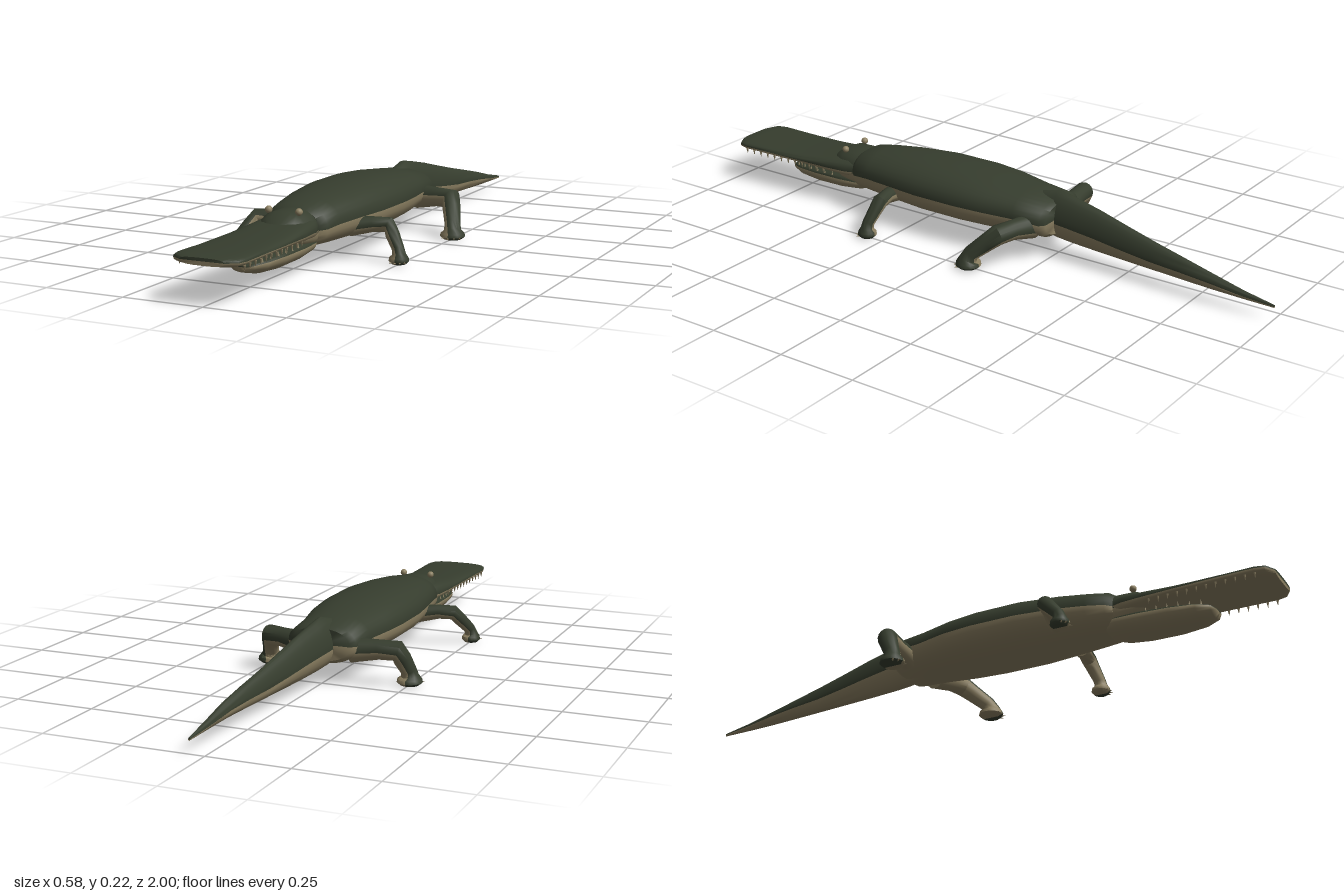
import * as THREE from 'three';
import { toCreasedNormals } from 'three/addons/utils/BufferGeometryUtils.js';

const mat = (name, color) => {
  const m = new THREE.MeshStandardMaterial({ color });
  m.name = name;
  return m;
};
const V = (x, y, z) => new THREE.Vector3(x, y, z);

// Skins rings { c, u, v, lo }; the +v half is hide, the -v half (scaled by lo) is belly.
function loft(name, rings, mats, power = 2, half = 12) {
  const first = rings[0], last = rings[rings.length - 1];
  const cap = (r) => ({ c: r.c, u: V(0, 0, 0), v: V(0, 0, 0), lo: 1 });
  const all = [cap(first), ...rings, cap(last)];
  const n = half * 2;
  const pos = [], index = [];
  const bend = (t) => Math.sign(t) * Math.pow(Math.abs(t), 2 / power);
  for (const r of all) {
    for (let j = 0; j < n; j++) {
      const a = (j / n) * Math.PI * 2;
      const s = j % half === 0 ? 0 : bend(Math.sin(a));
      const k = j * 2 === half || j * 2 === half * 3 ? 0 : bend(Math.cos(a));
      const p = r.c.clone().addScaledVector(r.u, k).addScaledVector(r.v, s < 0 ? s * r.lo : s);
      pos.push(p.x, p.y, p.z);
    }
  }
  const g = new THREE.BufferGeometry();
  for (let side = 0; side < 2; side++) {
    const start = index.length;
    for (let i = 0; i < all.length - 1; i++) {
      for (let j = side * half; j < (side + 1) * half; j++) {
        const k = (j + 1) % n;
        const a = i * n + j, b = i * n + k;
        index.push(a, b, a + n, b, b + n, a + n);
      }
    }
    g.addGroup(start, index.length - start, side);
  }
  g.setAttribute('position', new THREE.Float32BufferAttribute(pos, 3));
  g.setIndex(index);
  const mesh = new THREE.Mesh(toCreasedNormals(g, 0.9), mats);
  mesh.name = name;
  return mesh;
}

// Section along z: [z, centre x, half width, top, colour line, bottom]
const section = ([z, x, w, top, mid, bottom]) => ({
  c: V(x, mid, z), u: V(w, 0, 0), v: V(0, top - mid, 0), lo: (mid - bottom) / (top - mid),
});

// Limb rings: the hide side faces up on the thigh and outward on the shin.
function limbRings(points, side) {
  return points.map(([x, y, z, r], i) => {
    const a = points[Math.max(i - 1, 0)], b = points[Math.min(i + 1, points.length - 1)];
    const t = V(b[0] - a[0], b[1] - a[1], b[2] - a[2]).normalize();
    const v = V(side, 1, 0);
    v.addScaledVector(t, -v.dot(t)).normalize();
    const u = v.clone().cross(t);
    return { c: V(x, y, z), u: u.multiplyScalar(r), v: v.multiplyScalar(r), lo: 1 };
  });
}

export function createModel() {
  const model = new THREE.Group();
  model.name = 'crocodilian';
  const hide = mat('dark green hide', 0x363d2e);
  const belly = mat('tan belly', 0x8c8062);
  const skin = [hide, belly];

  // Trunk
  model.add(loft('body', [
    [-0.26, 0, 0.095, 0.175, 0.125, 0.075],
    [-0.245, 0, 0.112, 0.185, 0.125, 0.065],
    [-0.15, 0, 0.118, 0.197, 0.128, 0.06],
    [-0.05, 0, 0.138, 0.208, 0.132, 0.057],
    [0.05, 0, 0.147, 0.215, 0.133, 0.055],
    [0.2, 0, 0.146, 0.216, 0.133, 0.055],
    [0.33, 0, 0.13, 0.208, 0.132, 0.058],
    [0.42, 0, 0.113, 0.199, 0.128, 0.06],
    [0.48, 0, 0.102, 0.19, 0.122, 0.064],
    [0.5, 0, 0.085, 0.178, 0.12, 0.07],
  ].map(section), skin, 2.3, 16));

  // Tall, slightly curved tail
  model.add(loft('tail', [
    [-1, 0.045, 0.003, 0.047, 0.042, 0.038],
    [-0.9, 0.045, 0.011, 0.066, 0.052, 0.04],
    [-0.8, 0.043, 0.018, 0.09, 0.066, 0.042],
    [-0.7, 0.036, 0.022, 0.112, 0.073, 0.043],
    [-0.6, 0.028, 0.026, 0.133, 0.078, 0.044],
    [-0.5, 0.02, 0.031, 0.156, 0.088, 0.045],
    [-0.4, 0.012, 0.036, 0.18, 0.1, 0.046],
    [-0.3, 0.005, 0.042, 0.2, 0.11, 0.049],
    [-0.25, 0.002, 0.046, 0.208, 0.115, 0.053],
    [-0.18, 0, 0.045, 0.19, 0.12, 0.065],
  ].map(section), skin, 1.8));

  // Skull
  model.add(loft('head', [
    [0.46, 0, 0.08, 0.18, 0.115, 0.065],
    [0.51, 0, 0.083, 0.18, 0.115, 0.065],
    [0.56, 0, 0.078, 0.18, 0.115, 0.075],
    [0.59, 0, 0.068, 0.168, 0.118, 0.09],
    [0.615, 0, 0.045, 0.15, 0.12, 0.1],
  ].map(section), skin, 2.4));

  // Broad flat upper snout
  model.add(loft('snout', [
    [0.5, 0, 0.082, 0.16, 0.122, 0.1],
    [0.53, 0, 0.092, 0.16, 0.122, 0.1],
    [0.6, 0, 0.098, 0.153, 0.122, 0.103],
    [0.7, 0, 0.102, 0.143, 0.123, 0.107],
    [0.85, 0, 0.106, 0.138, 0.124, 0.108],
    [0.95, 0, 0.108, 0.139, 0.124, 0.107],
    [0.98, 0, 0.1, 0.138, 0.124, 0.108],
    [1, 0, 0.068, 0.133, 0.124, 0.112],
  ].map(section), skin, 3));

  // Shorter scooped lower jaw with dark mouth inside
  model.add(loft('lowerJaw', [
    [0.46, 0, 0.06, 0.095, 0.085, 0.06],
    [0.5, 0, 0.075, 0.1, 0.084, 0.047],
    [0.57, 0, 0.078, 0.1, 0.082, 0.038],
    [0.67, 0, 0.074, 0.094, 0.08, 0.035],
    [0.75, 0, 0.062, 0.086, 0.077, 0.04],
    [0.79, 0, 0.042, 0.08, 0.073, 0.05],
    [0.802, 0, 0.02, 0.072, 0.068, 0.06],
  ].map(section), skin, 2.2));

  // Legs: hip, knee, ankle and foot, each pair in mid stride
  const legs = [
    ['hindLeftLeg', 1, [0.08, 0.105, -0.2], [0.21, 0.112, -0.165], [0.25, -0.085], 0.029],
    ['hindRightLeg', -1, [0.08, 0.105, -0.21], [0.225, 0.112, -0.195], [0.25, -0.16], 0.029],
    ['frontLeftLeg', 1, [0.09, 0.1, 0.315], [0.205, 0.11, 0.29], [0.247, 0.31], 0.022],
    ['frontRightLeg', -1, [0.09, 0.1, 0.32], [0.21, 0.11, 0.34], [0.25, 0.405], 0.022],
  ];
  const clawGeo = new THREE.ConeGeometry(0.005, 0.02, 6).rotateX(Math.PI / 2);
  for (const [name, s, hip, knee, [fx, fz], r] of legs) {
    const leg = new THREE.Group();
    leg.name = name;
    const foot = r * 1.3;
    const mix = (t) => [s * (knee[0] + (fx - knee[0]) * t), knee[1] * (1 - t) + 0.04 * t, knee[2] + (fz - knee[2]) * t];
    const path = [
      [s * hip[0], hip[1], hip[2], r * 1.35],
      [s * (hip[0] * 0.4 + knee[0] * 0.6), knee[1], hip[2] * 0.4 + knee[2] * 0.6, r * 1.05],
      [s * knee[0], knee[1], knee[2], r * 1.1],
      [...mix(0.35), r * 0.98],
      [...mix(0.9), r * 0.85],
      [s * fx, 0.03, fz, r * 0.95],
      [s * fx, 0.02, fz, foot],
      [s * fx, 0.01, fz, foot * 1.05],
      [s * fx, 0.001, fz, foot * 0.75],
    ];
    leg.add(loft(name + 'Skin', limbRings(path, s), skin, 2, 8));
    for (let i = 0; i < 4; i++) {
      const a = (i - 1.5) * 0.5 + s * 0.25;
      const claw = new THREE.Mesh(clawGeo, belly);
      claw.name = 'claw';
      claw.position.set(s * fx + Math.sin(a) * foot, 0.008, fz + Math.cos(a) * foot);
      claw.rotation.y = a;
      leg.add(claw);
    }
    model.add(leg);
  }

  // Eyes and teeth on both sides
  const eyeGeo = new THREE.SphereGeometry(0.011, 14, 10);
  const toothGeo = new THREE.ConeGeometry(0.004, 0.018, 6);
  for (const s of [-1, 1]) {
    const eye = new THREE.Mesh(eyeGeo, belly);
    eye.name = 'eye';
    eye.position.set(s * 0.049, 0.181, 0.555);
    model.add(eye);
    for (let i = 0; i < 12; i++) {
      const z = 0.62 + i * 0.03;
      const tooth = new THREE.Mesh(toothGeo, belly);
      tooth.name = 'upperTooth';
      tooth.position.set(s * (0.092 + i * 0.0007), 0.105, z);
      tooth.rotation.x = Math.PI;
      model.add(tooth);
    }
    for (let i = 0; i < 6; i++) {
      const tooth = new THREE.Mesh(toothGeo, belly);
      tooth.name = 'lowerTooth';
      tooth.position.set(s * (0.07 - i * i * 0.0009), 0.092 - i * 0.001, 0.6 + i * 0.033);
      model.add(tooth);
    }
  }
  return model;
}
